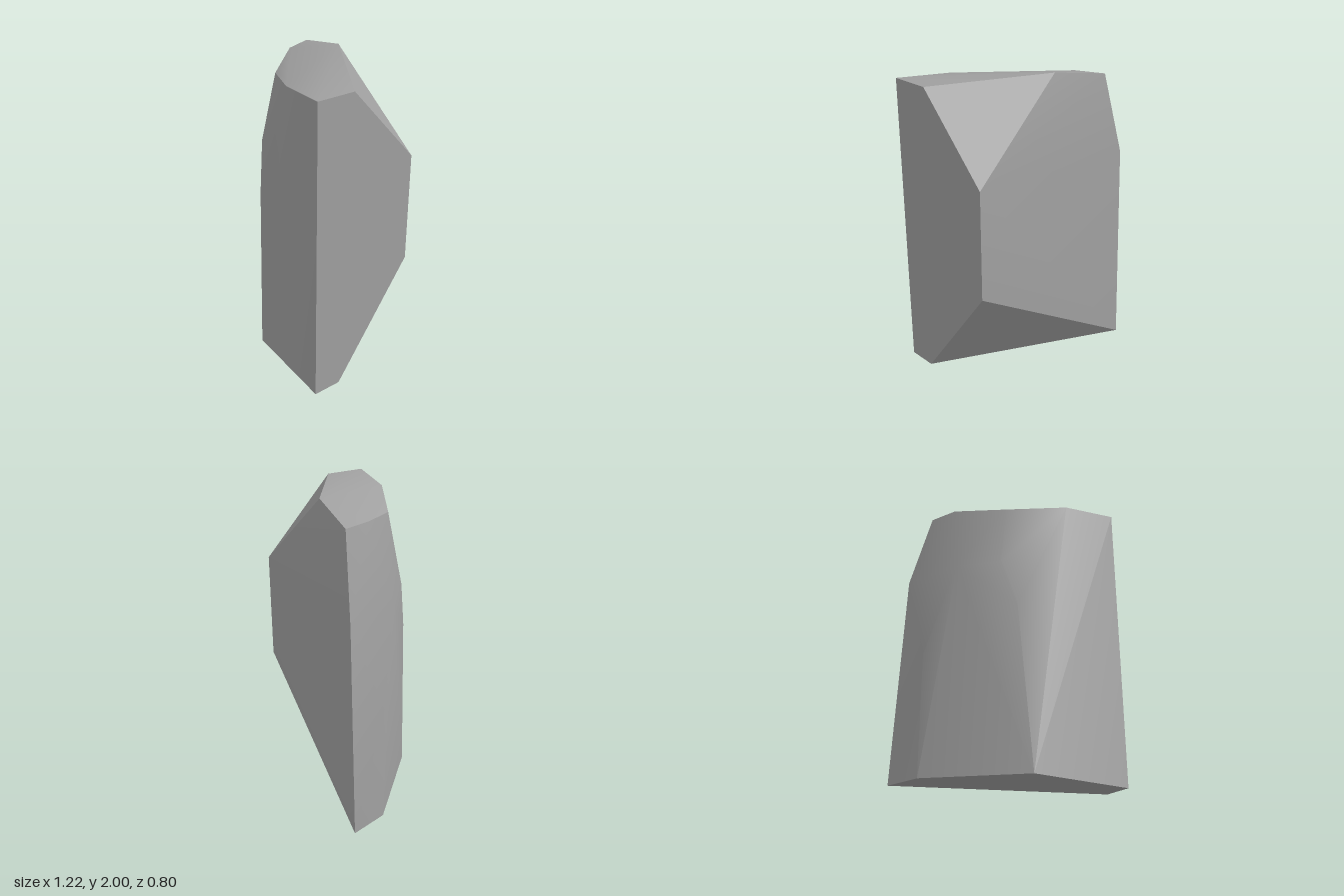
import * as THREE from 'three';
import { toCreasedNormals } from 'three/addons/utils/BufferGeometryUtils.js';
import { ConvexGeometry } from 'three/addons/geometries/ConvexGeometry.js';

export function createModel() {
  const group = new THREE.Group();
  group.name = 'rock';
  const stone = new THREE.MeshStandardMaterial({ color: 0xa0a0a0 });
  stone.name = 'grey stone';

  // Corners of the faceted boulder, as [x, y, z]
  const corners = [
    // base outline
    [0.61, 0, 0.4], [0.61, 0, 0.21], [-0.61, 0, -0.4], [-0.55, 0, -0.15], [-0.06, 0, 0.335],
    // flat side and bevelled back corner
    [0.61, 0.74, -0.33], [0.61, 1.45, -0.33],
    // chipped shoulder
    [-0.55, 1.4, -0.39], [-0.55, 0.79, -0.15], [-0.41, 1.4, -0.005], [-0.2, 1.42, 0.195], [-0.125, 1.1, 0.27],
    // sloping crown
    [0.61, 1.955, 0.4], [0.61, 1.955, 0.14], [-0.03, 2, -0.285], [-0.42, 1.93, -0.34],
    [-0.355, 1.925, -0.15], [-0.12, 1.875, 0.14], [0.25, 1.93, 0.335],
  ].map((p) => new THREE.Vector3(...p));

  // Soft shading across shallow facets, hard edges elsewhere
  const boulder = new THREE.Mesh(toCreasedNormals(new ConvexGeometry(corners), 0.55), stone);
  boulder.name = 'boulder';
  group.add(boulder);
  return group;
}
